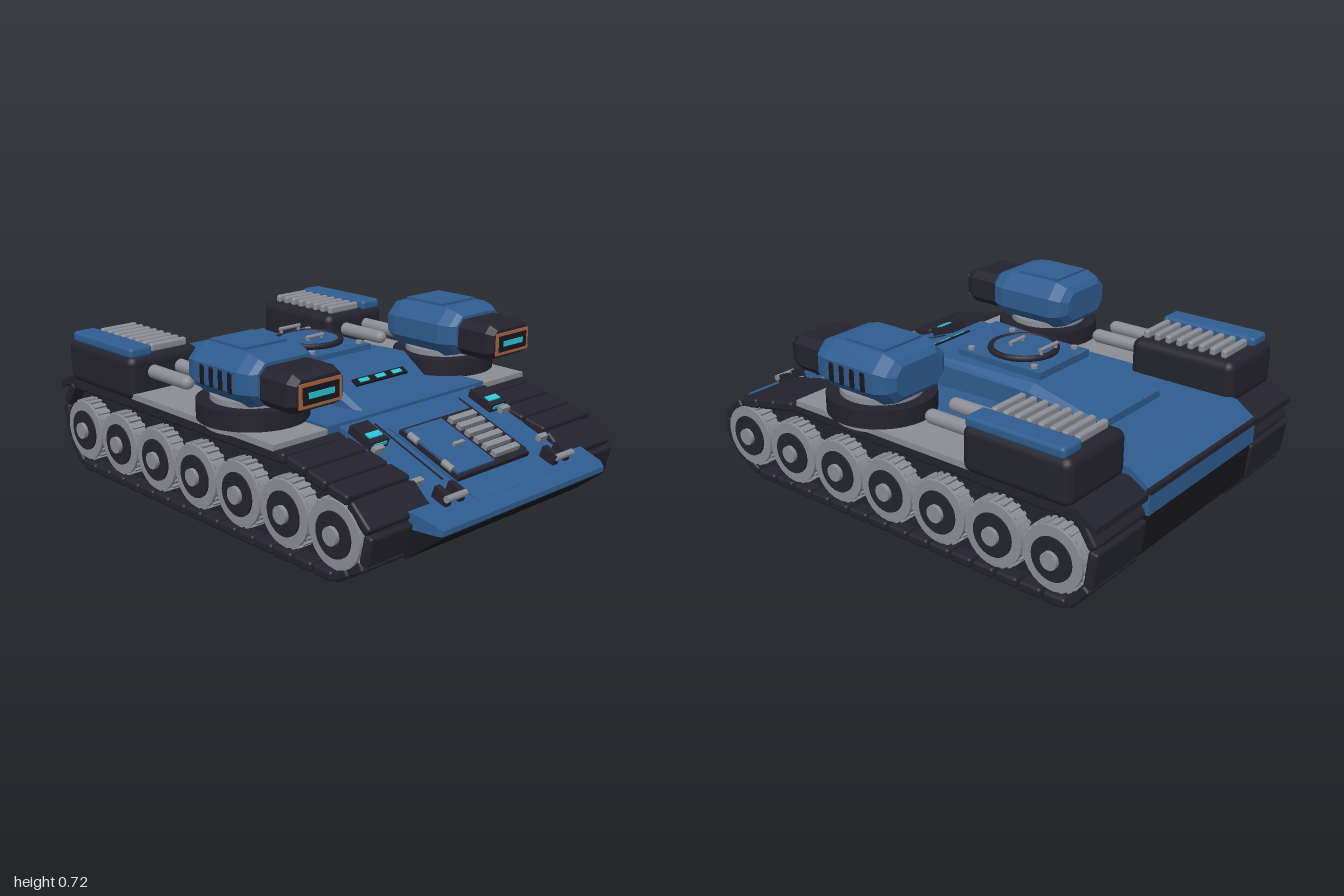
import * as THREE from 'three';
import { RoundedBoxGeometry } from 'three/addons/geometries/RoundedBoxGeometry.js';

const mat = (name, color) => Object.assign(new THREE.MeshStandardMaterial({ color }), { name });
const blue = mat('armour blue', 0x2f5d90);
const dark = mat('dark metal', 0x24232e);
const black = mat('underbody black', 0x18171d);
const grey = mat('bare steel', 0x8b8d96);
const cyan = mat('light cyan', 0x2cc5d6);
const copper = mat('copper trim', 0xa8653f);

function add(parent, name, geo, material, x = 0, y = 0, z = 0) {
  const m = new THREE.Mesh(geo, material);
  m.name = name;
  m.position.set(x, y, z);
  parent.add(m);
  return m;
}
const box = (w, h, d) => new THREE.BoxGeometry(w, h, d);
const soft = (w, h, d, r) => new RoundedBoxGeometry(w, h, d, 3, r);
const disc = (r, h, n = 32, r2 = r) => new THREE.CylinderGeometry(r, r2, h, n);
const axle = (r, w, n = 28) => disc(r, w, n).rotateZ(Math.PI / 2);

// Side profile in (z, y), extruded across x and centred on x = 0
function profile(points, width) {
  const shape = new THREE.Shape(points.map(p => new THREE.Vector2(p[0], p[1])));
  return new THREE.ExtrudeGeometry(shape, { depth: width, bevelEnabled: false })
    .translate(0, 0, -width / 2).rotateY(-Math.PI / 2);
}

// Solid through counter-clockwise (x, y) sections, ordered from back to front
function loft(sections) {
  const pos = [];
  const n = sections[0].pts.length;
  const v = (s, i) => [...sections[s].pts[i % n], sections[s].z];
  const tri = (a, b, c) => pos.push(...a, ...b, ...c);
  for (let s = 0; s < sections.length - 1; s++) {
    for (let i = 0; i < n; i++) {
      tri(v(s, i), v(s, i + 1), v(s + 1, i + 1));
      tri(v(s, i), v(s + 1, i + 1), v(s + 1, i));
    }
  }
  const e = sections.length - 1;
  for (let i = 1; i < n - 1; i++) {
    tri(v(0, 0), v(0, i + 1), v(0, i));
    tri(v(e, 0), v(e, i), v(e, i + 1));
  }
  const g = new THREE.BufferGeometry();
  g.setAttribute('position', new THREE.Float32BufferAttribute(pos, 3));
  g.computeVertexNormals();
  return g;
}
const rect = (z, w, y0, y1) => ({ z, pts: [[-w, y0], [w, y0], [w, y1], [-w, y1]] });
const oct = (z, w, h, c) => ({
  z, pts: [[-w + c, -h], [w - c, -h], [w, -h + c], [w, h - c], [w - c, h], [-w + c, h], [-w, h - c], [-w, -h + c]],
});
const roof = (z, wb, wt, ys, y1) => ({ z, pts: [[-wb, 0.41], [wb, 0.41], [wb, ys], [wt, y1], [-wt, y1], [-wb, ys]] });

function buildHull(root) {
  const g = new THREE.Group();
  g.name = 'hull';
  root.add(g);
  add(g, 'upperHull', profile([[0.95, 0.235], [0.45, 0.42], [0.38, 0.44], [-0.9, 0.44], [-0.985, 0.38],
    [-0.985, 0.28], [0.9, 0.21]], 0.75), blue);
  add(g, 'deck', box(0.86, 0.036, 1.28), blue, 0, 0.422, -0.22);
  add(g, 'lowerHull', profile([[0.88, 0.21], [0.86, 0.1], [0.72, 0.04], [-0.88, 0.04], [-0.96, 0.12],
    [-0.975, 0.28]], 0.76), black);
  add(g, 'rearSill', box(0.76, 0.02, 0.02), dark, 0, 0.375, -0.985);
  add(g, 'nosePlate', loft([rect(0.87, 0.485, 0.2, 0.262), rect(0.98, 0.465, 0.2, 0.235), rect(1.0, 0.455, 0.2, 0.22)]), blue);
  add(g, 'noseUnderside', loft([rect(0.86, 0.49, 0.085, 0.2), rect(1.0, 0.455, 0.195, 0.2)]), black);
}

// Fittings lying on the sloped front plate
function buildGlacis(root) {
  const g = new THREE.Group();
  g.name = 'frontPlateFittings';
  g.position.set(0, 0.42, 0.45);
  g.rotation.x = Math.atan2(0.185, 0.5);
  root.add(g);
  const s = z => (z - 0.45) / 0.938;
  add(g, 'centrePanel', box(0.41, 0.008, 0.47), blue, 0, 0.003, s(0.72));
  add(g, 'hatchFrame', box(0.395, 0.026, 0.31), dark, 0, 0.012, s(0.69));
  add(g, 'hatchDoor', box(0.2, 0.014, 0.28), blue, -0.09, 0.026, s(0.69));
  add(g, 'hatchHandle', box(0.055, 0.014, 0.014), grey, -0.055, 0.038, s(0.7));
  for (const z of [0.61, 0.775]) add(g, 'hinge', axle(0.014, 0.022, 10).rotateY(Math.PI / 2).scale(1, 1, 2.2), grey, -0.192, 0.03, s(z));
  for (let i = 0; i < 6; i++) add(g, 'grilleSlat', box(0.14, 0.02, 0.026), grey, 0.1, 0.034, s(0.585 + i * 0.042));
  for (const k of [-1, 1]) {
    add(g, 'lampHousing', box(0.09, 0.035, 0.12), dark, k * 0.33, 0.016, s(0.52));
    add(g, 'lampTop', box(0.066, 0.006, 0.028), cyan, k * 0.33, 0.036, s(0.54));
    add(g, 'lampFront', box(0.066, 0.014, 0.006), cyan, k * 0.33, 0.02, s(0.52) + 0.061);
    add(g, 'seam', box(0.006, 0.006, 0.36), dark, k * 0.235, 0.001, s(0.63));
    for (const z of [0.59, 0.78]) add(g, 'sideCleat', box(0.05, 0.022, 0.022), grey, k * 0.352, 0.012, s(z));
    for (const x of [0.265, 0.335]) add(g, 'towPost', box(0.026, 0.05, 0.07), dark, k * x, 0.02, s(0.88));
    add(g, 'towBar', axle(0.013, 0.1, 12), grey, k * 0.305, 0.036, s(0.91));
  }
}

function buildCabin(root) {
  const g = new THREE.Group();
  g.name = 'cabin';
  root.add(g);
  add(g, 'cabinBody', loft([roof(-0.66, 0.205, 0.19, 0.455, 0.47), roof(-0.35, 0.222, 0.19, 0.515, 0.545),
    roof(0.165, 0.245, 0.228, 0.53, 0.556), roof(0.21, 0.245, 0.222, 0.505, 0.532), roof(0.37, 0.22, 0.205, 0.425, 0.44)]), blue);
  // Vision slit on the sloped front
  const slit = new THREE.Group();
  slit.name = 'visionSlit';
  slit.position.set(0, 0.508, 0.255);
  slit.rotation.x = 0.52;
  g.add(slit);
  add(slit, 'slitFrame', box(0.28, 0.014, 0.034), black);
  for (const x of [-0.09, 0, 0.09]) add(slit, 'slitLight', box(0.05, 0.006, 0.018), cyan, x, 0.008, 0);
  // Roof hatch
  add(g, 'hatchPlate', box(0.32, 0.03, 0.4), blue, 0, 0.56, -0.155);
  add(g, 'hatchRing', new THREE.TorusGeometry(0.13, 0.013, 8, 40).rotateX(Math.PI / 2), dark, 0, 0.585, -0.155);
  add(g, 'hatchLid', disc(0.122, 0.02, 40), blue, 0, 0.582, -0.155);
  for (const x of [-0.13, 0.13]) for (const z of [-0.305, 0.005]) add(g, 'hatchBolt', disc(0.014, 0.014, 10), grey, x, 0.58, z);
  for (const [z, w, y] of [[-0.275, 0.11, 0.615], [-0.12, 0.09, 0.605]]) {
    add(g, 'hatchHandle', axle(0.008, w, 10), grey, 0, y, z);
    for (const k of [-1, 1]) add(g, 'handleFoot', disc(0.007, 0.035, 8), grey, k * (w / 2 - 0.008), y - 0.018, z);
  }
}

function buildTrack(root, k) {
  const g = new THREE.Group();
  g.name = k > 0 ? 'leftTrack' : 'rightTrack';
  g.position.x = k * 0.525;
  root.add(g);
  const path = [[-0.86, 0.022], [0.7, 0.022], [0.845, 0.11], [0.872, 0.23], [0.775, 0.318], [0.46, 0.385],
    [-0.9, 0.372], [-0.965, 0.27], [-0.945, 0.12]];
  add(g, 'trackCore', profile(path, 0.24), dark, -k * 0.025, 0, 0);
  path.forEach(([z0, y0], i) => {
    const [z1, y1] = path[(i + 1) % path.length];
    const dz = z1 - z0, dy = y1 - y0, len = Math.hypot(dz, dy);
    const n = Math.max(1, Math.round(len / 0.105));
    for (let j = 0; j < n; j++) {
      const t = (j + 0.5) / n;
      const pad = add(g, 'trackPad', soft(0.305, 0.04, len / n - 0.008, 0.012), dark, 0, y0 + dy * t, z0 + dz * t);
      pad.rotation.x = -Math.atan2(dy, dz);
    }
  });
  // Road wheels
  for (let i = 0; i < 7; i++) {
    const w = new THREE.Group();
    w.name = 'roadWheel';
    w.position.set(0, 0.19, 0.72 - i * 0.2545);
    g.add(w);
    add(w, 'wheelRim', axle(0.124, 0.1), grey, k * 0.11);
    for (let t = 0; t < 24; t++) {
      const a = t * Math.PI / 12;
      const tooth = add(w, 'rimTooth', box(0.08, 0.014, 0.016), grey, k * 0.11, Math.sin(a) * 0.124, Math.cos(a) * 0.124);
      tooth.rotation.x = -a;
    }
    add(w, 'wheelDish', axle(0.084, 0.11), dark, k * 0.112);
    add(w, 'wheelHub', axle(0.034, 0.13, 20), grey, k * 0.118);
  }
  // Mudguard and its walkway
  add(g, 'mudguard', profile([[0.46, 0.385], [0.42, 0.41], [-0.9, 0.41], [-0.98, 0.365], [-0.98, 0.34], [-0.9, 0.375]], 0.32), dark);
  add(g, 'walkway', box(0.255, 0.024, 0.88), grey, k * 0.035, 0.419, -0.02);
}

function buildTurret(root, k) {
  const g = new THREE.Group();
  g.name = k > 0 ? 'leftTurret' : 'rightTurret';
  g.position.set(k * 0.525, 0, 0.115);
  root.add(g);
  add(g, 'baseRing', disc(0.185, 0.03, 40), grey, 0, 0.425);
  add(g, 'turntable', disc(0.212, 0.072, 48), dark, 0, 0.472);
  add(g, 'collar', disc(0.16, 0.025, 40), grey, 0, 0.518);
  add(g, 'turretBody', loft([oct(-0.197, 0.125, 0.06, 0.035), oct(-0.175, 0.158, 0.083, 0.05), oct(-0.125, 0.175, 0.1, 0.06),
    oct(0.12, 0.175, 0.1, 0.06), oct(0.17, 0.16, 0.087, 0.05), oct(0.192, 0.135, 0.074, 0.035)]), blue, 0, 0.615, 0);
  add(g, 'topPanel', box(0.2, 0.014, 0.2), blue, 0, 0.717, -0.02);
  for (let i = 0; i < 4; i++) add(g, 'sideVent', soft(0.009, 0.075, 0.024, 0.004), black, k * 0.174, 0.61, 0.085 - i * 0.053);
  // Muzzle with a framed light
  add(g, 'muzzle', loft([oct(0.18, 0.125, 0.072, 0.03), oct(0.33, 0.125, 0.072, 0.03), oct(0.366, 0.108, 0.055, 0.02)]), dark, 0, 0.605, 0);
  add(g, 'muzzleFrame', box(0.2, 0.09, 0.008), copper, 0, 0.602, 0.367);
  add(g, 'muzzleScreen', box(0.17, 0.065, 0.008), black, 0, 0.602, 0.37);
  add(g, 'muzzleLight', box(0.12, 0.022, 0.008), cyan, 0, 0.602, 0.373);
}

function buildRearPod(root, k) {
  const g = new THREE.Group();
  g.name = k > 0 ? 'leftRearPod' : 'rightRearPod';
  g.position.set(k * 0.53, 0, -0.65);
  root.add(g);
  add(g, 'podCase', soft(0.34, 0.18, 0.46, 0.035), dark, 0, 0.488, 0);
  add(g, 'podCover', soft(0.105, 0.045, 0.42, 0.015), blue, k * 0.108, 0.59, 0.01);
  for (let i = 0; i < 8; i++) add(g, 'coolingFin', soft(0.175, 0.035, 0.026, 0.01), grey, -k * 0.042, 0.592, -0.165 + i * 0.05);
  for (const x of [-0.068, 0.062]) {
    add(g, 'pipe', new THREE.CapsuleGeometry(0.028, 0.28, 6, 16).rotateX(Math.PI / 2), grey, k * x, 0.507, 0.31);
  }
}

export function createModel() {
  const root = new THREE.Group();
  root.name = 'trackedVehicle';
  buildHull(root);
  buildGlacis(root);
  buildCabin(root);
  for (const k of [-1, 1]) {
    buildTrack(root, k);
    buildTurret(root, k);
    buildRearPod(root, k);
  }
  return root;
}
